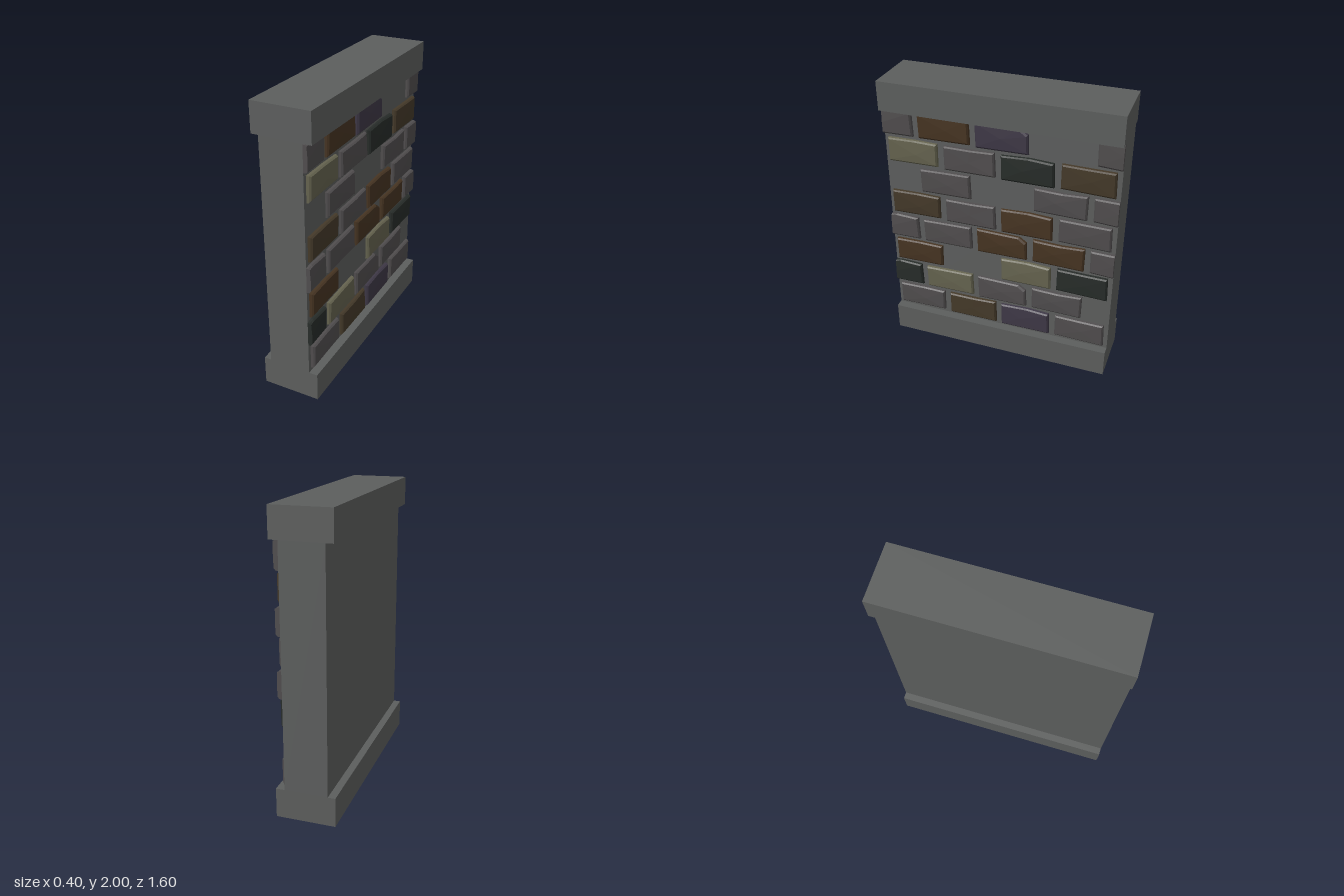
import * as THREE from 'three';

const COLORS = {
  wall: 0x5c5e5d, G: 0x504d4e, B: 0x463422, O: 0x443929,
  Y: 0x65634f, P: 0x3e3846, D: 0x272c29,
};
const MATERIALS = {};
for (const key in COLORS) {
  MATERIALS[key] = new THREE.MeshStandardMaterial({ color: COLORS[key], flatShading: true });
}

const NAMES = { G: 'greyBrick', B: 'brownBrick', O: 'umberBrick', Y: 'sandBrick', P: 'purpleBrick', D: 'darkBrick' };

// Courses from bottom to top, bricks from +z to -z; '-' is a missing brick
const COURSES = ['GOPG', 'DYGG-', 'B-YD', 'GGBBG', 'OGBG', '-G-GG', 'YGDO', 'GBP-G'];

const HALF_DEPTH = 0.8, WALL_FACE = 0.14;

// Small seeded jitter in -1..1
function jitter(seed) {
  let s = seed * 7919 + 17;
  return () => {
    s = (s * 16807 + 11) % 2147483647;
    return (s / 2147483647) * 2 - 1;
  };
}

// Rough-hewn brick: stacked outlines from the wall outwards, closed by a raised centre
function brickGeometry(u, y, variant, chipped) {
  const rnd = jitter(variant + 1);
  for (let i = 0; i < 4; i++) rnd();
  const w = 0.178, h = 0.088;
  const outline = chipped
    ? [[-w, -h], [w, -h], [w, h - 0.035], [w - 0.05, h], [-w, h]]
    : [[-w, -h], [w, -h], [w, h], [0.02, h], [-w, h]];
  const corners = outline.map(([a, b]) => [a + rnd() * 0.004, b + rnd() * 0.005, rnd() * 0.003]);
  const levels = [[0, 0], [0.016, 0.002], [0.027, 0.011]]; // [height, inset]
  const clamp = (v) => THREE.MathUtils.clamp(v, -HALF_DEPTH, HALF_DEPTH);
  const point = (a, b, x) => [x, y + b, -clamp(u + a)];
  const rings = levels.map(([up, inset], k) => corners.map(([a, b, dx]) =>
    point(a - Math.sign(a) * inset, b - Math.sign(b) * inset * (b < 0 ? 1.5 : 0.8),
      WALL_FACE + up + (k ? dx : 0))));
  const centre = point(rnd() * 0.04, rnd() * 0.02, WALL_FACE + 0.031);

  const pos = [], n = corners.length;
  const tri = (...pts) => pts.forEach((p) => pos.push(...p));
  for (let i = 0; i < n; i++) {
    const j = (i + 1) % n;
    for (let k = 0; k < rings.length - 1; k++) {
      tri(rings[k][i], rings[k][j], rings[k + 1][j]);
      tri(rings[k][i], rings[k + 1][j], rings[k + 1][i]);
    }
    tri(rings[2][i], rings[2][j], centre);
  }
  const geometry = new THREE.BufferGeometry();
  geometry.setAttribute('position', new THREE.Float32BufferAttribute(pos, 3));
  geometry.computeVertexNormals();
  return geometry;
}

export function createModel() {
  const model = new THREE.Group();
  model.name = 'brickWall';

  // Base, core and cap slabs
  const slab = (name, x0, x1, y0, y1) => {
    const mesh = new THREE.Mesh(new THREE.BoxGeometry(x1 - x0, y1 - y0, HALF_DEPTH * 2), MATERIALS.wall);
    mesh.position.set((x0 + x1) / 2, (y0 + y1) / 2, 0);
    mesh.name = name;
    model.add(mesh);
  };
  slab('base', -0.2, 0.2, 0, 0.2);
  slab('core', -0.15, WALL_FACE, 0.2, 1.8);
  slab('cap', -0.2, 0.2, 1.8, 2);

  // Bricks in running bond on the +x face; end bricks of odd courses are cut at the wall ends
  const bricks = new THREE.Group();
  bricks.name = 'bricks';
  COURSES.forEach((course, row) => {
    const odd = row % 2;
    [...course].forEach((key, col) => {
      if (key === '-') return;
      const u = (odd ? -0.771 : -0.598) + col * 0.397;
      const geometry = brickGeometry(u, 0.312 + row * 0.2, col * 2 + odd, odd && col === 2);
      const brick = new THREE.Mesh(geometry, MATERIALS[key]);
      brick.name = NAMES[key];
      bricks.add(brick);
    });
  });
  model.add(bricks);
  return model;
}
